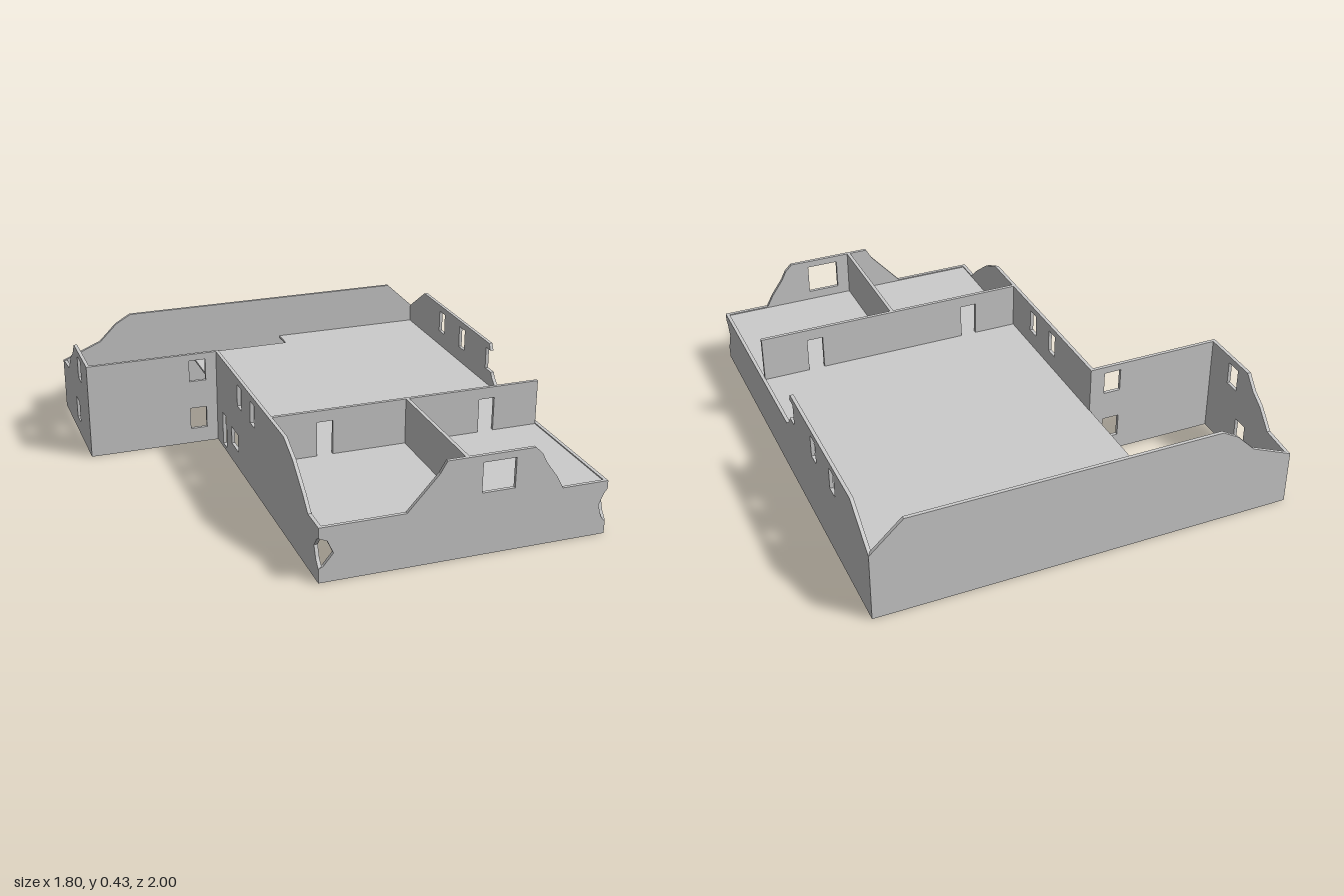
import * as THREE from 'three';

const T = 0.015;      // wall thickness
const H = 0.43;       // full wall height
const F = 0.23;       // upper floor level
const LOW = 0.235;    // broken-down wall height

const material = new THREE.MeshStandardMaterial({ color: 0xcccccc, flatShading: true, side: THREE.DoubleSide });

// Outline with rectangular openings [u0, y0, u1, y1]
function outline(points, openings = []) {
  const shape = new THREE.Shape(points.map(([u, v]) => new THREE.Vector2(u, v)));
  for (const [a, b, c, d] of openings) {
    shape.holes.push(new THREE.Path([[a, b], [a, d], [c, d], [c, b]].map(([u, v]) => new THREE.Vector2(u, v))));
  }
  return shape;
}

const extrude = (shape, depth) => new THREE.ExtrudeGeometry(shape, { depth, bevelEnabled: false });

const rect = (a, b, y0, y1) => [[a, y0], [b, y0], [b, y1], [a, y1]];

export function createModel() {
  const model = new THREE.Group();

  const add = (name, geometry) => {
    const mesh = new THREE.Mesh(geometry, material);
    mesh.name = name;
    model.add(mesh);
  };

  // Wall running along x, with its back face at z
  const wallAlongX = (name, z, points, openings) =>
    add(name, extrude(outline(points, openings), T).translate(0, 0, z));

  // Wall running along z, with its right face at x; points are given as [z, y]
  const wallAlongZ = (name, x, points, openings = []) =>
    add(name, extrude(outline(
      points.map(([z, y]) => [-z, y]),
      openings.map(([a, b, c, d]) => [-a, b, -c, d])
    ), T).rotateY(Math.PI / 2).translate(x, 0, 0));

  // Horizontal slab with its top at y; points are given as [x, z]
  const slab = (name, y, depth, points) =>
    add(name, extrude(outline(points), depth).rotateX(Math.PI / 2).translate(0, y, 0));

  // Front wall: ruined gable with a window and broken corners
  wallAlongX('frontWall', 1 - T, [
    [-0.315, 0], [0.9, 0], [0.9, 0.05], [0.88, 0.08], [0.865, 0.13], [0.885, 0.18], [0.9, 0.2], [0.9, LOW],
    [0.7, LOW], [0.67, 0.29], [0.62, 0.36], [0.6, 0.4], [0.57, H], [0.2, H], [0.17, 0.38], [0.04, LOW],
    [-0.315, LOW], [-0.315, 0.19], [-0.28, 0.175], [-0.255, 0.12], [-0.295, 0.07], [-0.315, 0.06],
  ], [[0.35, 0.27, 0.49, 0.4]]);

  // Back wall across the house and wing
  wallAlongX('backWall', -1, [
    [-0.9, 0], [0.9, 0], [0.9, 0.3], [0.76, H], [-0.57, H], [-0.64, 0.39], [-0.72, 0.31], [-0.9, LOW],
  ]);

  // Left outer wall, broken toward the front
  wallAlongZ('leftWall', -0.315, [
    [-0.38, 0], [1, 0], [1, 0.06], [0.97, 0.09], [0.95, 0.14], [0.98, 0.18], [1, 0.19], [1, LOW],
    [0.88, LOW], [0.82, 0.29], [0.7, 0.38], [0.59, H], [-0.38, H],
  ], [
    [0.14, 0.3, 0.2, 0.4], [-0.05, 0.3, 0.01, 0.4],
    [-0.15, 0.08, -0.05, 0.16], [-0.29, 0.02, -0.23, 0.17],
  ]);

  // Right outer wall, broken through one of its windows
  wallAlongZ('rightWall', 0.9 - T, [
    [-1, 0], [1, 0], [1, 0.06], [0.975, 0.09], [0.955, 0.14], [0.98, 0.19], [1, 0.2], [1, LOW],
    [0.02, LOW], [-0.03, 0.28], [-0.04, 0.3], [-0.1, 0.3], [-0.1, 0.4], [-0.055, 0.4], [-0.07, H],
    [-0.81, H], [-1, 0.3],
  ], [[-0.39, 0.3, -0.33, 0.4], [-0.62, 0.3, -0.56, 0.4]]);

  // Side wing
  wallAlongX('wingFrontWall', -0.395, rect(-0.9, -0.3, 0, H),
    [[-0.44, 0.3, -0.365, 0.4], [-0.44, 0.07, -0.365, 0.17]]);
  wallAlongZ('wingLeftWall', -0.9, [
    [-1, 0], [-0.38, 0], [-0.38, H], [-0.67, H], [-0.72, 0.37], [-0.78, 0.33], [-0.85, 0.25], [-1, LOW],
  ], [[-0.6, 0.3, -0.53, 0.4], [-0.69, 0.07, -0.62, 0.17]]);

  // Upper partitions with doorways open to the floor
  wallAlongX('upperCrossPartition', 0.385, [
    [-0.3, F], [-0.11, F], [-0.11, 0.38], [-0.04, 0.38], [-0.04, F],
    [0.615, F], [0.615, 0.38], [0.685, 0.38], [0.685, F], [0.887, F], [0.887, H], [-0.3, H],
  ]);
  wallAlongZ('upperRoomPartition', 0.28, rect(0.39, 0.99, F, H));

  // Lower partitions around the front room
  wallAlongX('lowerCrossPartition', 0.385, [
    [-0.3, 0], [-0.11, 0], [-0.11, 0.15], [-0.04, 0.15], [-0.04, 0], [0.295, 0], [0.295, F], [-0.3, F],
  ]);
  wallAlongZ('lowerRoomPartition', 0.28, rect(0.39, 0.99, 0, F));

  // Upper floor with a stairwell at the back, and the landing below it
  slab('upperFloor', F, 0.01, [
    [-0.302, 0.99], [0.89, 0.99], [0.89, -0.99], [0.18, -0.99], [0.18, -0.885], [-0.302, -0.885],
  ]);
  slab('stairLanding', 0.006, 0.006, [[-0.302, -0.885], [0.18, -0.885], [0.18, -0.99], [-0.302, -0.99]]);

  return model;
}
